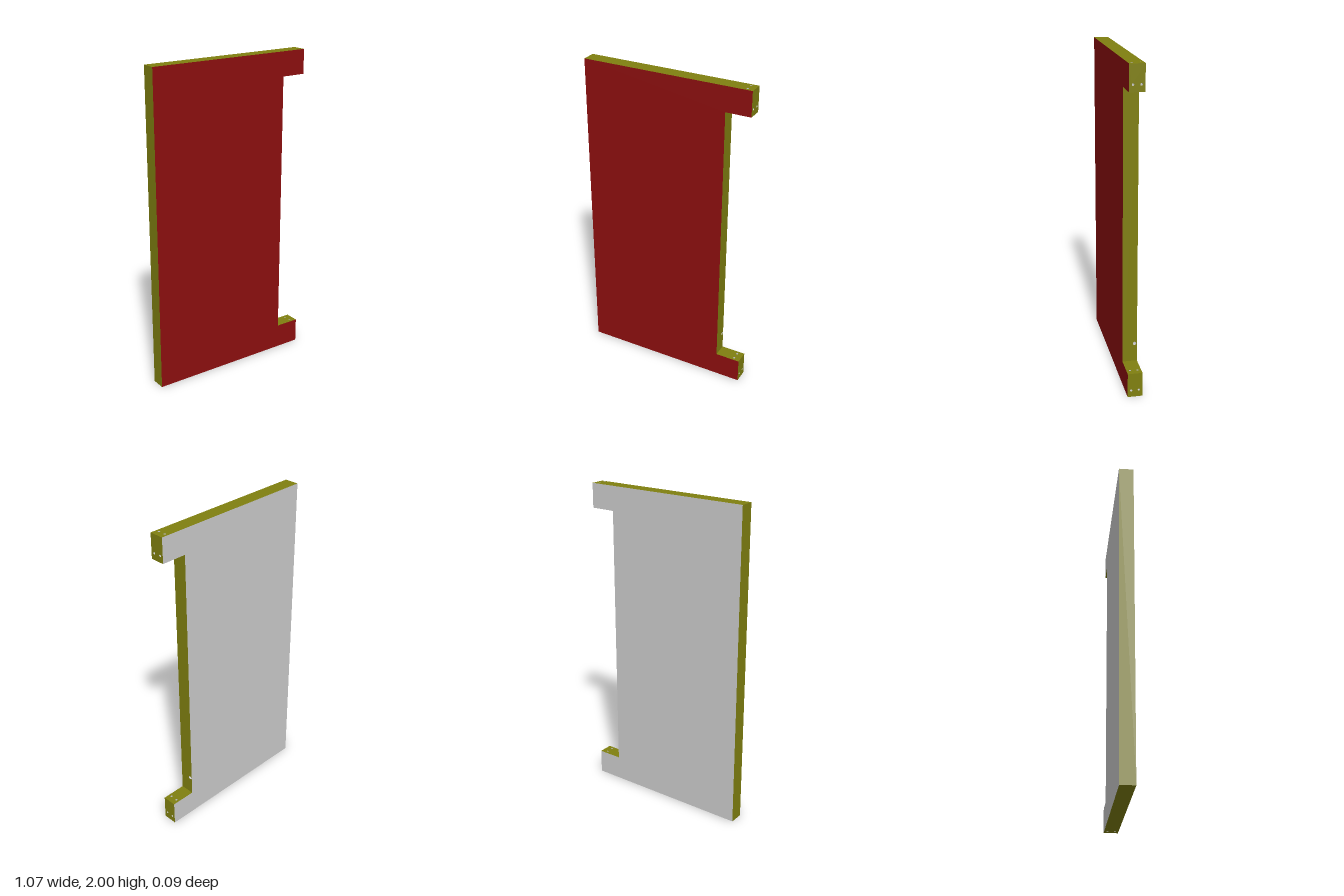
import * as THREE from 'three';

const HALF_DEPTH = 0.045;
const SOCKET_DEPTH = 0.02;

export function createModel() {
  const model = new THREE.Group();
  model.name = 'notchedPanel';

  const red = new THREE.MeshStandardMaterial({ color: 0x8c0f0f });
  const olive = new THREE.MeshStandardMaterial({ color: 0x808010 });
  const grey = new THREE.MeshStandardMaterial({ color: 0xcccccc });
  const lining = new THREE.MeshStandardMaterial({ color: 0xcccccc, side: THREE.BackSide });

  const add = (parent, name, geometry, material) => {
    const mesh = new THREE.Mesh(geometry, material);
    mesh.name = name;
    parent.add(mesh);
    return mesh;
  };

  // Outline, counter-clockwise, with a tall notch on the left side
  const outline = [
    [-0.537, 0], [0.537, 0], [0.537, 0.155], [0.38, 0.155],
    [0.38, 1.847], [0.537, 1.847], [0.537, 2], [-0.537, 2],
  ].map(([x, y]) => new THREE.Vector2(x, y));

  // Front and back skins
  const skin = new THREE.ShapeGeometry(new THREE.Shape(outline));
  add(model, 'frontSkin', skin, red).position.z = HALF_DEPTH;
  const backShape = new THREE.Shape(outline.map((p) => new THREE.Vector2(-p.x, p.y)).reverse());
  const back = add(model, 'backSkin', new THREE.ShapeGeometry(backShape), grey);
  back.rotation.y = Math.PI;
  back.position.z = -HALF_DEPTH;

  // Dowel sockets on each edge: [distance along edge, z, radius]
  const pair = (d) => [[d, -0.023, 0.007], [d, 0.023, 0.007]];
  const edges = [
    ['bottomEdge', pair(1.034)],
    ['lowerTabEnd', pair(0.043)],
    ['lowerTabTop', pair(0.04)],
    ['notchEdge', [[0.117, -0.03, 0.011]]],
    ['upperTabUnderside', pair(0.117)],
    ['upperTabEnd', pair(0.041)],
    ['topEdge', pair(0.04)],
    ['sideEdge', []],
  ];

  // Edge strips with blind round sockets
  const zAxis = new THREE.Vector3(0, 0, 1);
  edges.forEach(([name, sockets], i) => {
    const a = outline[i];
    const b = outline[(i + 1) % outline.length];
    const length = a.distanceTo(b);
    const along = new THREE.Vector3(b.x - a.x, b.y - a.y, 0).normalize();
    const outward = along.clone().cross(zAxis);

    const edge = new THREE.Group();
    edge.name = name;
    edge.applyMatrix4(new THREE.Matrix4().makeBasis(along, zAxis, outward).setPosition(a.x, a.y, 0));

    const strip = new THREE.Shape([
      new THREE.Vector2(0, -HALF_DEPTH), new THREE.Vector2(length, -HALF_DEPTH),
      new THREE.Vector2(length, HALF_DEPTH), new THREE.Vector2(0, HALF_DEPTH),
    ]);
    for (const [d, z, r] of sockets) {
      strip.holes.push(new THREE.Path().absarc(d, z, r, 0, Math.PI * 2, true));
      const wall = new THREE.CylinderGeometry(r, r, SOCKET_DEPTH, 24, 1, true);
      wall.rotateX(Math.PI / 2);
      add(edge, 'socketWall', wall, lining).position.set(d, z, -SOCKET_DEPTH / 2);
      add(edge, 'socketFloor', new THREE.CircleGeometry(r, 24), grey).position.set(d, z, -SOCKET_DEPTH);
    }
    add(edge, name + 'Strip', new THREE.ShapeGeometry(strip, 12), olive);
    model.add(edge);
  });

  return model;
}
